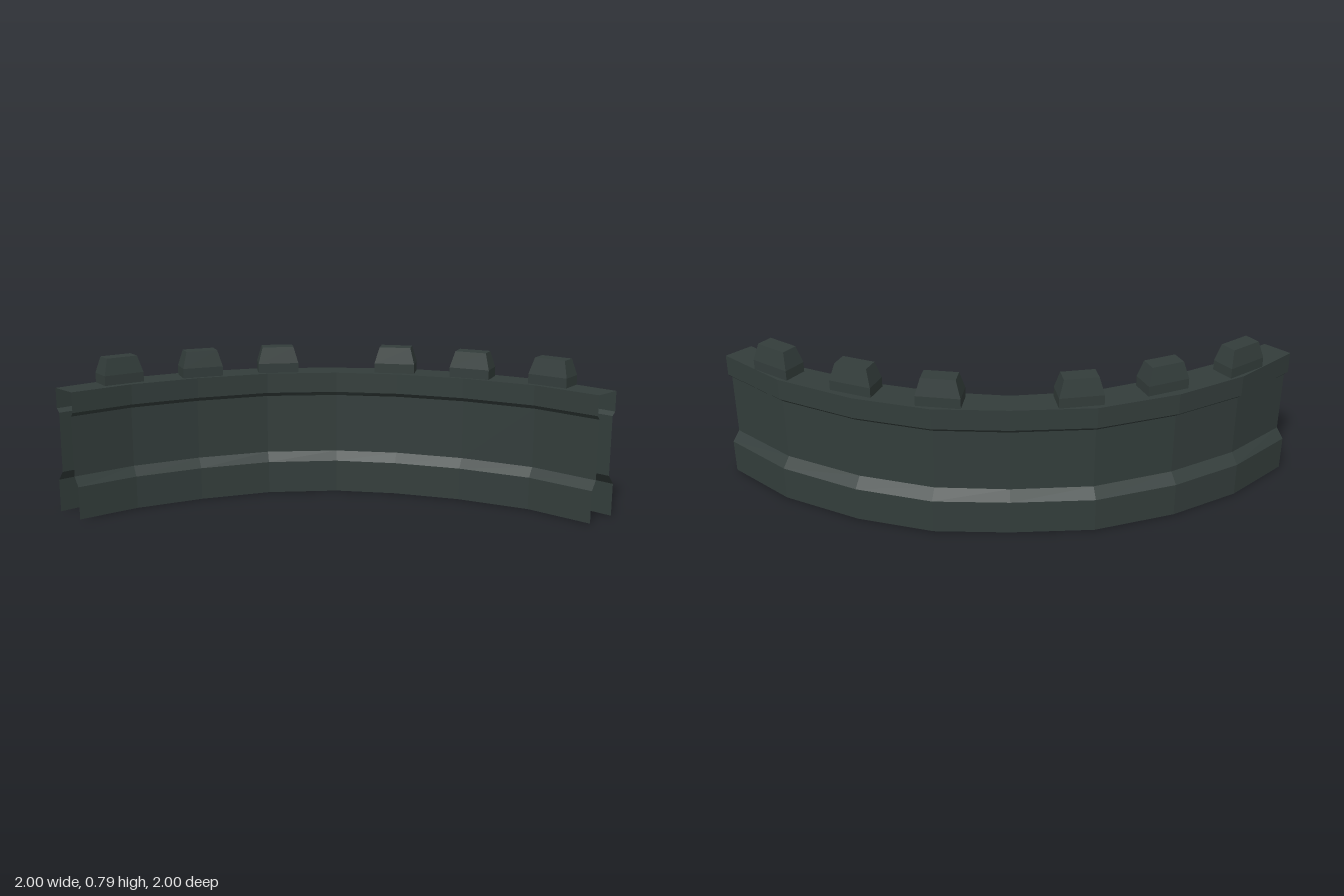
import * as THREE from 'three';

// Plan of the wall: matching inner and outer [x, z] points along the quarter arc
const INNER = [[-1, -0.815], [-0.68, -0.775], [-0.34, -0.67], [0, -0.515], [0.285, -0.285],
  [0.48, -0.03], [0.65, 0.28], [0.78, 0.64], [0.815, 1]];
const OUTER = [[-1, -1], [-0.62, -0.98], [-0.26, -0.875], [0.11, -0.685], [0.41, -0.41],
  [0.66, 0.14 * -1], [0.845, 0.2], [0.975, 0.6], [1, 1]];

// Cross-sections as [share of the way from inner to outer face, height]
const WALL = [[0, 0], [0, 0.17], [0.16, 0.22], [0.16, 0.53]];
const WALL_OUT = [[0.78, 0.53], [0.78, 0.22], [1, 0.17], [1, 0]];
const CAP = [[0.16, 0.53], [0.08, 0.55], [0.08, 0.655], [0.89, 0.655], [0.89, 0.55], [0.78, 0.53]];

// Sweeps a section along the arc, leaving bottom and ends open
function sweep(section) {
  const at = (i, [u, y]) => [
    THREE.MathUtils.lerp(INNER[i][0], OUTER[i][0], u), y,
    THREE.MathUtils.lerp(INNER[i][1], OUTER[i][1], u)];
  const positions = [];
  for (let i = 0; i < INNER.length - 1; i++) {
    for (let j = 0; j < section.length - 1; j++) {
      const a = at(i, section[j]), b = at(i + 1, section[j]);
      const c = at(i + 1, section[j + 1]), d = at(i, section[j + 1]);
      positions.push(...a, ...b, ...c, ...a, ...c, ...d);
    }
  }
  const geometry = new THREE.BufferGeometry();
  geometry.setAttribute('position', new THREE.Float32BufferAttribute(positions, 3));
  geometry.computeVertexNormals();
  return geometry;
}

// Block with upright lower sides and a tapered upper part
function merlonGeometry() {
  const geometry = new THREE.BoxGeometry(0.213, 0.135, 0.12, 1, 2, 1);
  const p = geometry.attributes.position;
  for (let i = 0; i < p.count; i++) {
    const y = p.getY(i);
    if (y > 0.01) p.setXYZ(i, p.getX(i) * 0.775, 0.135, p.getZ(i) * 0.69);
    else p.setY(i, y < -0.01 ? 0 : 0.05);
  }
  const flat = geometry.toNonIndexed();
  flat.computeVertexNormals();
  return flat;
}

export function createModel() {
  const model = new THREE.Group();
  model.name = 'curvedBattlementWall';
  const stone = new THREE.MeshStandardMaterial({
    color: 0x333d3b, flatShading: true, side: THREE.DoubleSide });
  stone.name = 'darkStone';

  const add = (name, geometry) => {
    const mesh = new THREE.Mesh(geometry, stone);
    mesh.name = name;
    model.add(mesh);
    return mesh;
  };

  // Wall faces with flared foot, and the parapet cap on top
  add('innerWall', sweep(WALL));
  add('outerWall', sweep(WALL_OUT));
  add('parapetCap', sweep(CAP));

  // Merlons, three on each half, mirrored across the diagonal
  const block = merlonGeometry();
  for (const [x, z, degrees] of [[-0.68, -0.887, 9.6], [-0.27, -0.745, 22.7], [0.105, -0.555, 36]]) {
    for (const [px, pz, turn] of [[x, z, degrees], [-z, -x, 90 - degrees]]) {
      const merlon = add('merlon', block);
      merlon.position.set(px, 0.655, pz);
      merlon.rotation.y = -THREE.MathUtils.degToRad(turn);
    }
  }
  return model;
}
